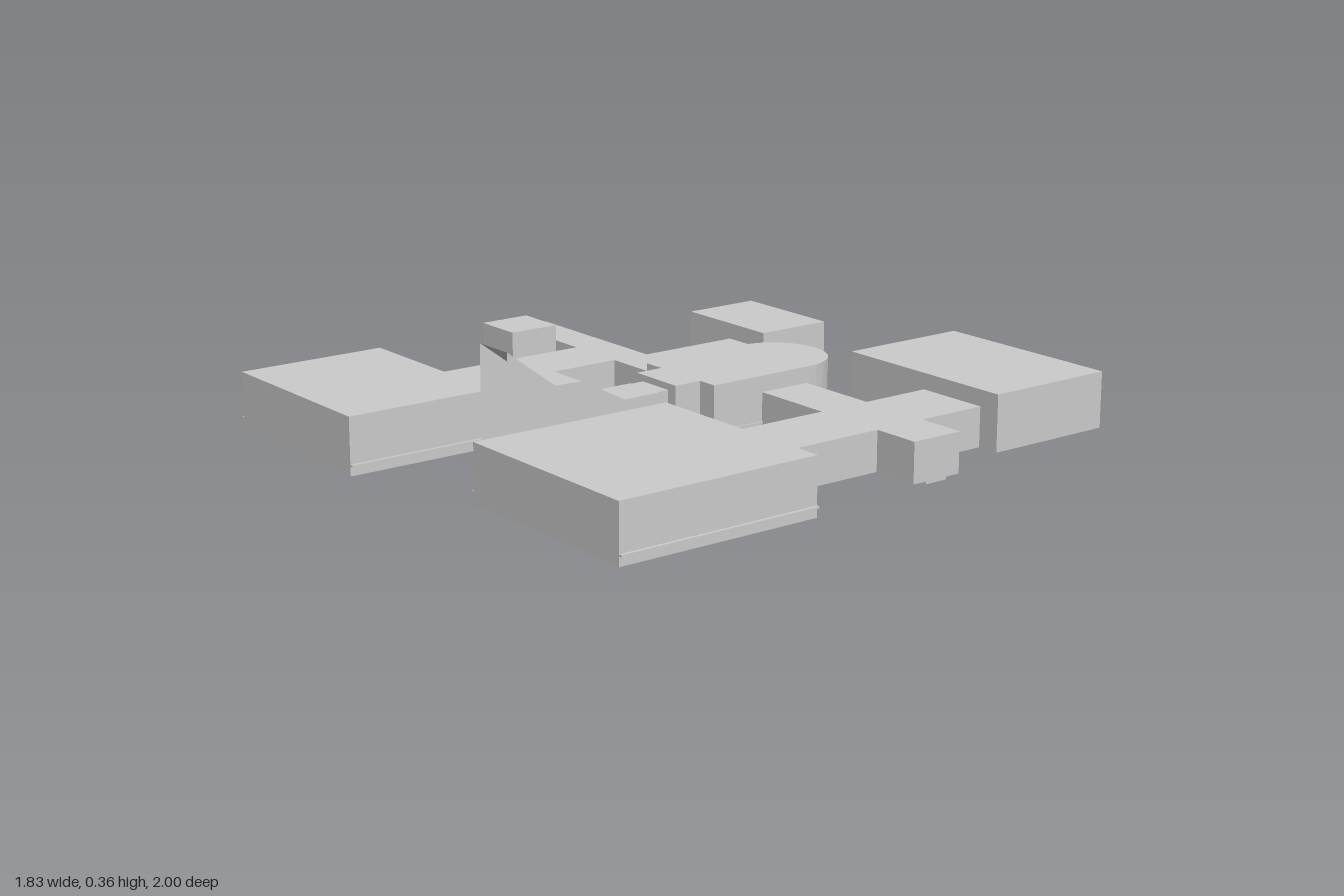
import * as THREE from 'three';

const material = new THREE.MeshStandardMaterial({ color: 0xcccccc, flatShading: true, side: THREE.DoubleSide });

export function createModel() {
  const model = new THREE.Group();
  model.name = 'roomComplex';

  const add = (name, geometry, parent = model) => {
    const mesh = new THREE.Mesh(geometry, material);
    mesh.name = name;
    parent.add(mesh);
    return mesh;
  };

  // Box given by its limits on each axis
  const block = (name, x0, x1, y0, y1, z0, z1, parent) => {
    const g = new THREE.BoxGeometry(x1 - x0, y1 - y0, z1 - z0);
    g.translate((x0 + x1) / 2, (y0 + y1) / 2, (z0 + z1) / 2);
    return add(name, g, parent);
  };

  // Rooms: walls with a thin floor ledge showing on the x sides
  const rooms = [
    ['frontLeftRoom', 0.25, 0.9, 0.22, 0.865],
    ['frontRightRoom', -0.775, -0.165, 0.53, 1],
    ['backLeftRoom', 0.135, 0.76, -1, -0.575],
    ['backRightRoom', -0.57, -0.205, -0.76, -0.51],
    ['sideCloset', -0.85, -0.685, -0.06, 0.105],
  ];
  for (const [name, x0, x1, z0, z1] of rooms) {
    const room = new THREE.Group();
    room.name = name;
    model.add(room);
    block('walls', x0, x1, 0.008, 0.18, z0, z1, room);
    if (name.startsWith('front')) block('floorLedge', x0 - 0.01, x1 + 0.01, 0.036, 0.042, z0, z1, room);
  }

  // Corridors, each with a narrower floor strip underneath
  const corridors = [
    ['leftLongCorridor', 0.455, 0.69, -0.575, 0.22],
    ['leftCrossCorridor', 0.19, 0.84, -0.35, -0.18],
    ['rightCrossCorridor', -0.915, -0.13, -0.18, -0.06],
    ['rightFrontCorridor', -0.575, -0.375, -0.06, 0.53],
    ['rightBackCorridor', -0.37, -0.235, -0.51, -0.18],
  ];
  for (const [name, x0, x1, z0, z1] of corridors) {
    block(name, x0, x1, 0.008, 0.13, z0, z1);
    const alongX = x1 - x0 > z1 - z0;
    const inX = alongX ? 0 : (x1 - x0) * 0.28;
    const inZ = alongX ? (z1 - z0) * 0.28 : 0;
    block(name + 'Strip', x0 + inX, x1 - inX, 0, 0.009, z0 + inZ, z1 - inZ);
  }

  // Round floor inlay under the largest room
  const inlay = new THREE.CylinderGeometry(0.22, 0.22, 0.008, 16);
  inlay.translate(0.575, 0.005, 0.54);
  add('roundFloorInlay', inlay);

  // Central hall with a rounded back end
  const hall = (name, half, y0, y1) => {
    const shape = new THREE.Shape();
    shape.moveTo(0.03 - half, 0);
    shape.lineTo(0.03 + half, 0);
    shape.lineTo(0.03 + half, 0.36);
    shape.absarc(0.03, 0.36, half, 0, Math.PI, false);
    shape.closePath();
    const g = new THREE.ExtrudeGeometry(shape, { depth: y1 - y0, bevelEnabled: false, curveSegments: 8 });
    g.rotateX(-Math.PI / 2);
    g.translate(0, y0, 0);
    add(name, g);
  };
  hall('hallWalls', 0.16, 0.008, 0.18);
  hall('hallFloorLedge', 0.164, 0.036, 0.042);
  block('vestibule', -0.06, 0.125, 0.008, 0.18, 0, 0.09);
  block('vestibuleNeck', -0.03, 0.09, 0.008, 0.16, 0.09, 0.13);

  // Stairway shell: two side walls, a stepped sloping roof, open at the front
  const stairs = new THREE.Group();
  stairs.name = 'stairway';
  model.add(stairs);
  const roof = [[0.13, 0.16], [0.25, 0.16], [0.4, 0.238], [0.49, 0.24], [0.65, 0.36]];
  const side = new THREE.Shape();
  side.moveTo(0.13, 0.008);
  roof.forEach(([z, y]) => side.lineTo(z, y));
  side.lineTo(0.655, 0.008);
  side.closePath();
  for (const x of [-0.036, 0.096]) {
    const g = new THREE.ShapeGeometry(side);
    g.rotateY(-Math.PI / 2);
    g.translate(x, 0, 0);
    // Outward winding on both walls
    if (x > 0) g.setIndex(Array.from(g.index.array).reverse());
    g.computeVertexNormals();
    add('stairSideWall', g, stairs);
  }
  for (let i = 0; i < roof.length - 1; i++) {
    const [z0, y0] = roof[i];
    const [z1, y1] = roof[i + 1];
    const g = new THREE.PlaneGeometry(0.132, Math.hypot(z1 - z0, y1 - y0));
    g.rotateX(-Math.PI / 2 - Math.atan2(y1 - y0, z1 - z0));
    g.translate(0.03, (y0 + y1) / 2, (z0 + z1) / 2);
    add('stairRoof', g, stairs);
  }
  block('stairCore', -0.034, 0.094, 0.04, 0.155, 0.14, 0.48, stairs);
  block('stairInnerWall', -0.035, 0.095, 0.04, 0.24, 0.48, 0.49, stairs);

  return model;
}
